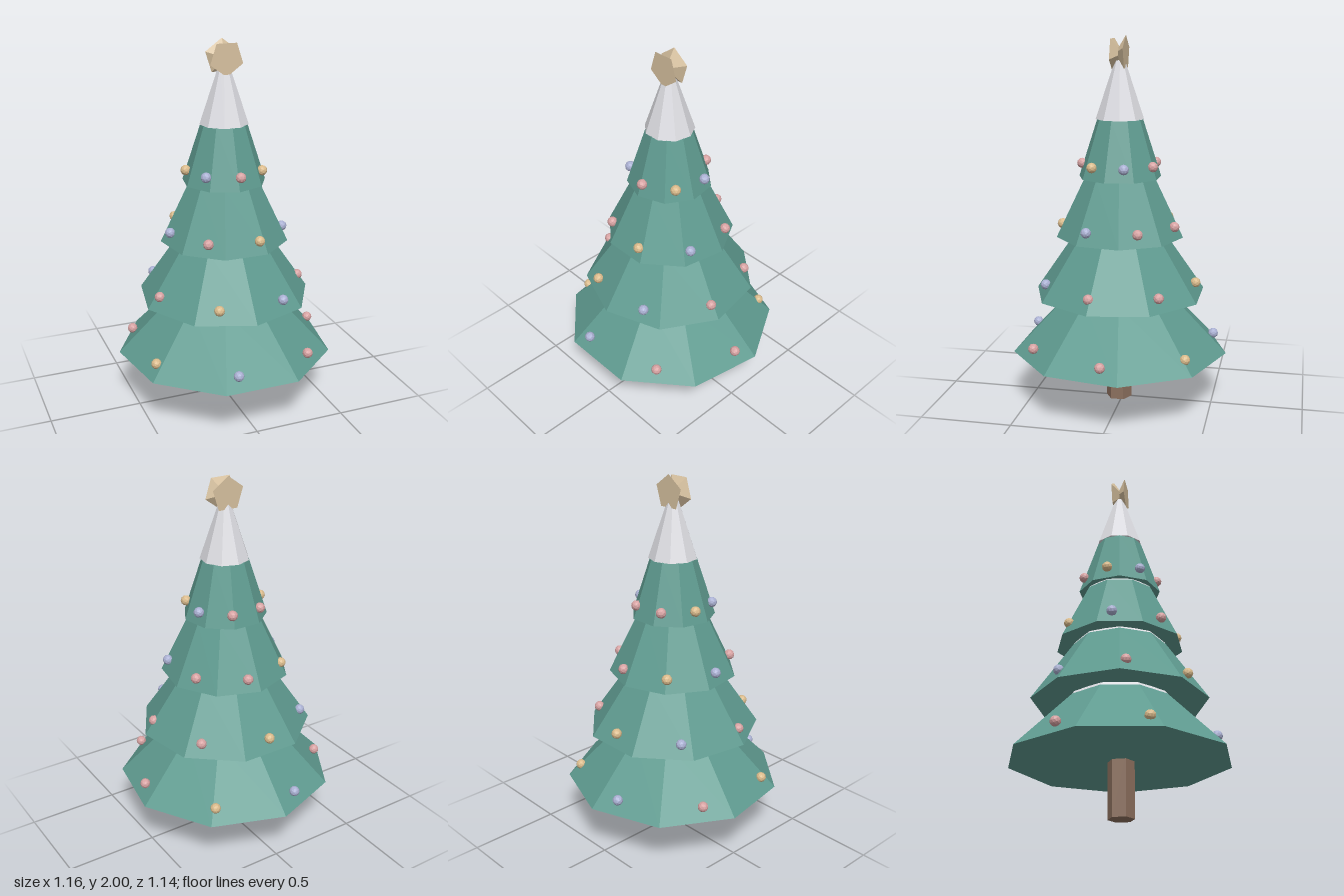
import * as THREE from 'three';

const mat = (name, color) => {
  const m = new THREE.MeshStandardMaterial({ color });
  m.name = name;
  return m;
};

// Give every face its own flat normal
const facet = (geometry) => {
  const g = geometry.index ? geometry.toNonIndexed() : geometry;
  g.computeVertexNormals();
  return g;
};

export function createModel() {
  const tree = new THREE.Group();
  tree.name = 'decoratedTree';

  const green = mat('needle green', 0x5f9b90);
  const snow = mat('snow white', 0xdedee3);
  const bark = mat('bark brown', 0x8c705e);
  const gold = mat('pale gold', 0xd8c2a0);
  const pink = mat('bauble pink', 0xd6a2a2);
  const cream = mat('bauble cream', 0xdabb8c);
  const lavender = mat('bauble lavender', 0xaab0d2);

  const add = (name, geometry, material, x = 0, y = 0, z = 0, parent = tree) => {
    const mesh = new THREE.Mesh(facet(geometry), material);
    mesh.name = name;
    mesh.position.set(x, y, z);
    parent.add(mesh);
    return mesh;
  };
  // Nine-sided turned part; every second one is turned by half a side
  const ring = (points, i) => new THREE.LatheGeometry(
    points.map(([r, y]) => new THREE.Vector2(r, y)), 9, i % 2 ? 0 : Math.PI);

  const axisZ = 0.014;

  // Trunk
  add('trunk', new THREE.CylinderGeometry(0.07, 0.07, 0.32, 6), bark, 0, 0.16, 0.02);

  // Branch tiers: bottom y, bottom radius, top y, top radius, bauble orbit and height
  const tiers = [
    [0.295, 0.59, 0.615, 0.28, 0.52, 0.366],
    [0.615, 0.47, 0.935, 0.25, 0.415, 0.686],
    [0.935, 0.345, 1.255, 0.19, 0.31, 1.004],
    [1.255, 0.224, 1.567, 0.122, 0.205, 1.325],
  ];
  const pattern = [pink, pink, lavender, cream, pink, lavender, cream];

  tiers.forEach(([y0, r0, y1, r1, orbit, baubleY], i) => {
    const hollow = i === 0 ? 0 : 0.04;
    add('branchTier' + (i + 1), ring([[0, y0 + hollow], [r0, y0], [r1, y1]], i), green, 0, 0, axisZ);

    // Snow collar tucked below the next tier
    if (i < 3) {
      add('snowCollar' + (i + 1), ring([[r1, y1], [r1 * 0.9, y1 + 0.04]], i), snow, 0, 0, axisZ);
    }

    // Seven baubles, each row shifted a little around the tree
    const row = new THREE.Group();
    row.name = 'baubleRow' + (i + 1);
    tree.add(row);
    pattern.forEach((material, k) => {
      const a = THREE.MathUtils.degToRad(k * 360 / 7 - i * 39.8);
      const ball = add('bauble', new THREE.IcosahedronGeometry(0.028, 1), material,
        orbit * Math.cos(a), baubleY, axisZ + orbit * Math.sin(a), row);
      ball.rotation.y = -a;
    });
  });

  // Snowy tip
  add('snowCap', ring([[0, 1.567], [0.13, 1.565], [0.027, 1.87], [0, 1.87]], 0), snow, 0, 0, axisZ);

  // Topper: two opposed pentagons joined at a narrow waist
  const topper = new THREE.Group();
  topper.name = 'topper';
  topper.position.set(0, 1.906, 0.018);
  tree.add(topper);
  [1, -1].forEach((side) => {
    const half = new THREE.CylinderGeometry(0.094, 0.035, 0.036, 5);
    half.translate(0, 0.018, 0);
    half.rotateX(side * Math.PI / 2);
    // Front half points down, back half points up
    half.rotateZ(0);
    const p = half.attributes.position;
    let top = -1;
    for (let v = 0; v < p.count; v++) top = Math.max(top, p.getY(v));
    const pointsUp = top > 0.09;
    if (pointsUp !== (side < 0)) half.rotateZ(Math.PI);
    add(side > 0 ? 'topperFront' : 'topperBack', half, gold, 0, 0, 0, topper);
  });

  return tree;
}
